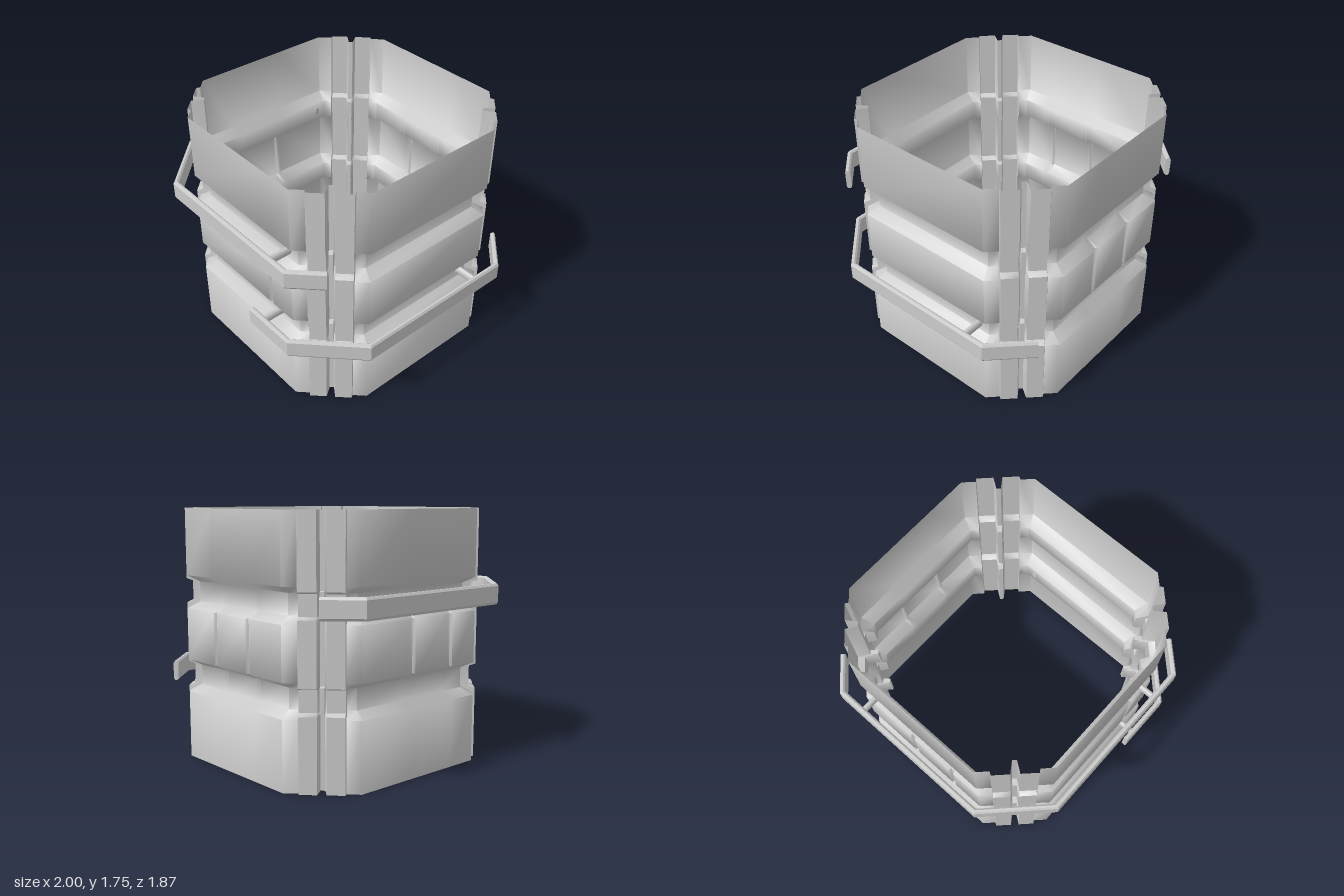
import * as THREE from 'three';
import { toCreasedNormals } from 'three/addons/utils/BufferGeometryUtils.js';

const material = new THREE.MeshStandardMaterial({ color: 0xcccccc, side: THREE.DoubleSide });
const CZ = -0.065; // centre of the octagonal shell in z

// Skin a list of equal-length closed rings of Vector3
function loft(rings, capEnds, crease) {
  const n = rings[0].length, index = [];
  const pos = rings.flat().flatMap((p) => [p.x, p.y, p.z]);
  for (let j = 0; j < rings.length - 1; j++) {
    for (let i = 0; i < n; i++) {
      const a = j * n + i, b = j * n + (i + 1) % n;
      index.push(a, b, b + n, a, b + n, a + n);
    }
  }
  if (capEnds) {
    const last = (rings.length - 1) * n;
    for (let i = 1; i < n - 1; i++) index.push(0, i + 1, i, last, last + i, last + i + 1);
  }
  const g = new THREE.BufferGeometry();
  g.setAttribute('position', new THREE.Float32BufferAttribute(pos, 3));
  g.setIndex(index);
  return toCreasedNormals(g, crease);
}

function add(parent, name, geometry) {
  const mesh = new THREE.Mesh(geometry, material);
  mesh.name = name;
  parent.add(mesh);
  return mesh;
}

// Heights of the three bands and two recesses, for panels and for corner ribs
const PANEL_Y = [0, 0.47, 0.515, 0.655, 0.70, 1.06, 1.105, 1.245, 1.29, 1.75];
const RIB_Y = [0, 0.495, 0.51, 0.655, 0.67, 1.09, 1.105, 1.245, 1.26, 1.75];
const RECESS = [0, 0, 1, 1, 0, 0, 1, 1, 0, 0];

// Plan outline: four panels, each followed by a ribbed corner
function outline() {
  const slits = [[0.30], [], [-0.18, 0.18], [-0.08, 0.28]];
  const miter = Math.tan(Math.PI / 8), h = Math.SQRT1_2, pts = [];
  slits.forEach((list, side) => {
    const put = (x, z, nx, nz, inset, ys, groove = 0) => {
      const p = new THREE.Vector2(x, z), n = new THREE.Vector2(nx, nz);
      for (let k = 0; k < side; k++) {
        p.set(p.y, -p.x);
        n.set(n.y, -n.x);
      }
      pts.push({ p, n, inset, ys, groove });
    };
    put(-0.525, 0.875, -miter, 1, 0.085, PANEL_Y);
    for (const s of list) {
      for (const [dx, g] of [[-0.02, 0], [-0.012, 0.02], [0.012, 0.02], [0.02, 0]]) {
        put(s + dx, 0.875, 0, 1, 0.085, PANEL_Y, g);
      }
    }
    put(0.525, 0.875, miter, 1, 0.085, PANEL_Y);
    // Flange, rib, centre groove, rib, flange
    const corner = [[-0.15, 0], [-0.145, 0.025], [-0.03, 0.025], [-0.015, -0.06]];
    const mirrored = corner.map(([t, d]) => [-t, d]).reverse();
    for (const [t, d] of [...corner, ...mirrored]) {
      const flange = Math.abs(t) === 0.15;
      put(0.7 + (t + d) * h, 0.7 + (d - t) * h, h, h, flange ? 0.085 : 0.045, flange ? PANEL_Y : RIB_Y);
    }
  });
  return pts;
}

function shellGeometry() {
  const pts = outline();
  const rings = RECESS.map((r, j) => pts.map(({ p, n, inset, ys, groove }) => {
    const d = r * inset + (j === 4 || j === 5 ? groove : 0);
    return new THREE.Vector3(p.x - n.x * d, ys[j], p.y - n.y * d + CZ);
  }));
  return loft(rings, false, 1.2);
}

// Flat bar with softened edges swept along a plan path with mitred bends
function railGeometry(path, y) {
  const section = [[-0.017, -0.06], [-0.005, -0.071], [0.008, -0.071], [0.018, -0.055],
    [0.018, 0.055], [0.008, 0.071], [-0.005, 0.071], [-0.017, 0.06]];
  const pts = path.map(([x, z]) => new THREE.Vector2(x, z));
  const normal = (a, b) => {
    const d = b.clone().sub(a).normalize();
    return new THREE.Vector2(-d.y, d.x);
  };
  const rings = pts.map((p, i) => {
    const n0 = normal(pts[Math.max(i - 1, 0)], pts[Math.max(i, 1)]);
    const n1 = i < pts.length - 1 ? normal(p, pts[i + 1]) : n0;
    const m = n0.clone().add(n1).normalize();
    m.divideScalar(m.dot(n0));
    return section.map(([o, v]) => new THREE.Vector3(p.x + m.x * o, y + v, p.y + m.y * o));
  });
  return loft(rings, true, 0.5);
}

export function createModel() {
  const model = new THREE.Group();
  model.name = 'bandedFrame';
  add(model, 'shell', shellGeometry());

  // Web plates joining the ribs in each recess
  for (const sx of [-1, 1]) {
    for (const sz of [-1, 1]) {
      for (const y of [0.583, 1.175]) {
        const plate = add(model, 'cornerPlate', new THREE.BoxGeometry(0.03, 0.17, 0.1));
        plate.position.set(sx * 0.655, y, sz * 0.655 + CZ);
        plate.rotation.y = Math.atan2(sx, sz);
      }
    }
  }

  // Guard rails; paths run so that the normal points outward
  const upper = [[-0.79, -0.86], [-0.983, -0.67], [-0.983, 0.543], [-0.605, 0.915], [0.605, 0.915], [0.785, 0.735]];
  const lower = [[0.205, 0.915], [0.605, 0.915], [0.983, 0.543], [0.983, -0.67], [0.735, -0.92]];
  add(model, 'upperRail', railGeometry(upper, 1.175));
  add(model, 'lowerRail', railGeometry(lower, 0.583));

  // Stubs holding the rails to the shell
  const stubs = [
    [-0.88, 1.175, -0.49, true], [0.405, 1.175, 0.81, false],
    [0.88, 0.583, -0.48, true], [0.30, 0.583, 0.81, false],
  ];
  for (const [x, y, z, alongX] of stubs) {
    const g = new THREE.CylinderGeometry(0.02, 0.02, 0.19, 12);
    g.rotateX(Math.PI / 2);
    g.scale(1, 1.6, 1);
    if (alongX) g.rotateY(Math.PI / 2);
    add(model, 'railStub', g).position.set(x, y, z);
  }
  return model;
}
